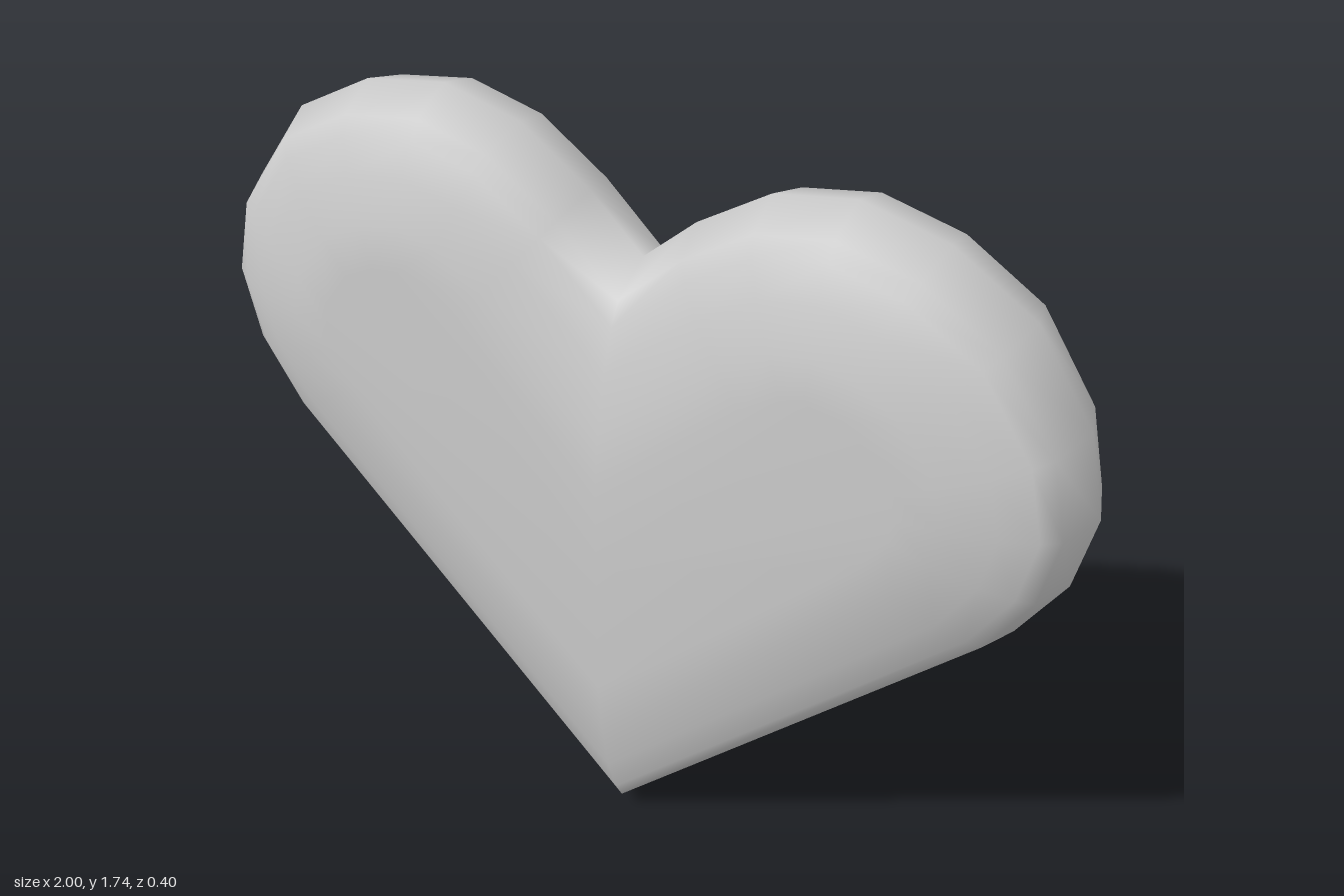
import * as THREE from 'three';

// Right half of the heart outline, from bottom tip up to the cleft
const HALF = [
  [0, 0], [0.86, 0.86], [0.96, 1.02], [1, 1.2], [0.96, 1.39], [0.83, 1.59],
  [0.65, 1.7], [0.46, 1.74], [0.28, 1.7], [0.12, 1.59], [0, 1.475],
];

// Rounded edge: [inset from outline, depth from the middle plane]
const EDGE = [[0, 0], [0.035, 0.1], [0.07, 0.127], [0.14, 0.16], [0.24, 0.187], [0.33, 0.2]];

// Mirror the half into a closed counter-clockwise loop
function heartOutline() {
  const right = HALF.map(([x, y]) => new THREE.Vector2(x, y));
  const left = right.slice(1, -1).reverse().map((p) => new THREE.Vector2(-p.x, p.y));
  return [...right, ...left];
}

// Mitred inward direction at each outline point
function inwardDirections(loop) {
  const n = loop.length;
  const edgeNormal = (a, b) => new THREE.Vector2(a.y - b.y, b.x - a.x).normalize();
  return loop.map((p, i) => {
    const n1 = edgeNormal(loop[(i + n - 1) % n], p);
    const n2 = edgeNormal(p, loop[(i + 1) % n]);
    const k = 1 + n1.dot(n2);
    return n1.add(n2).divideScalar(k);
  });
}

function heartGeometry() {
  const loop = heartOutline();
  const inward = inwardDirections(loop);
  const n = loop.length;
  const back = EDGE.map(([d, z]) => [d, -z]);
  const rings = [...EDGE.slice(1).reverse(), ...back];
  const positions = [];
  const index = [];

  // Inset copies of the outline, front to back
  for (const [inset, z] of rings) {
    loop.forEach((p, i) => {
      positions.push(p.x + inward[i].x * inset, p.y + inward[i].y * inset, z);
    });
  }
  for (let k = 0; k < rings.length - 1; k++) {
    for (let i = 0; i < n; i++) {
      const j = (i + 1) % n;
      const a = k * n + i, b = k * n + j, c = b + n, d = a + n;
      index.push(a, d, b, b, d, c);
    }
  }

  // Flat front and back faces
  const frontCentre = positions.length / 3;
  positions.push(0, 0.8, 0.2, 0, 0.8, -0.2);
  const last = (rings.length - 1) * n;
  for (let i = 0; i < n; i++) {
    const j = (i + 1) % n;
    index.push(frontCentre, i, j, frontCentre + 1, last + j, last + i);
  }

  const geometry = new THREE.BufferGeometry();
  geometry.setAttribute('position', new THREE.Float32BufferAttribute(positions, 3));
  geometry.setIndex(index);
  geometry.computeVertexNormals();
  return geometry;
}

export function createModel() {
  const group = new THREE.Group();
  group.name = 'heartModel';
  const heart = new THREE.Mesh(heartGeometry(), new THREE.MeshStandardMaterial({ color: 0xcccccc }));
  heart.name = 'heart';
  group.add(heart);
  return group;
}
